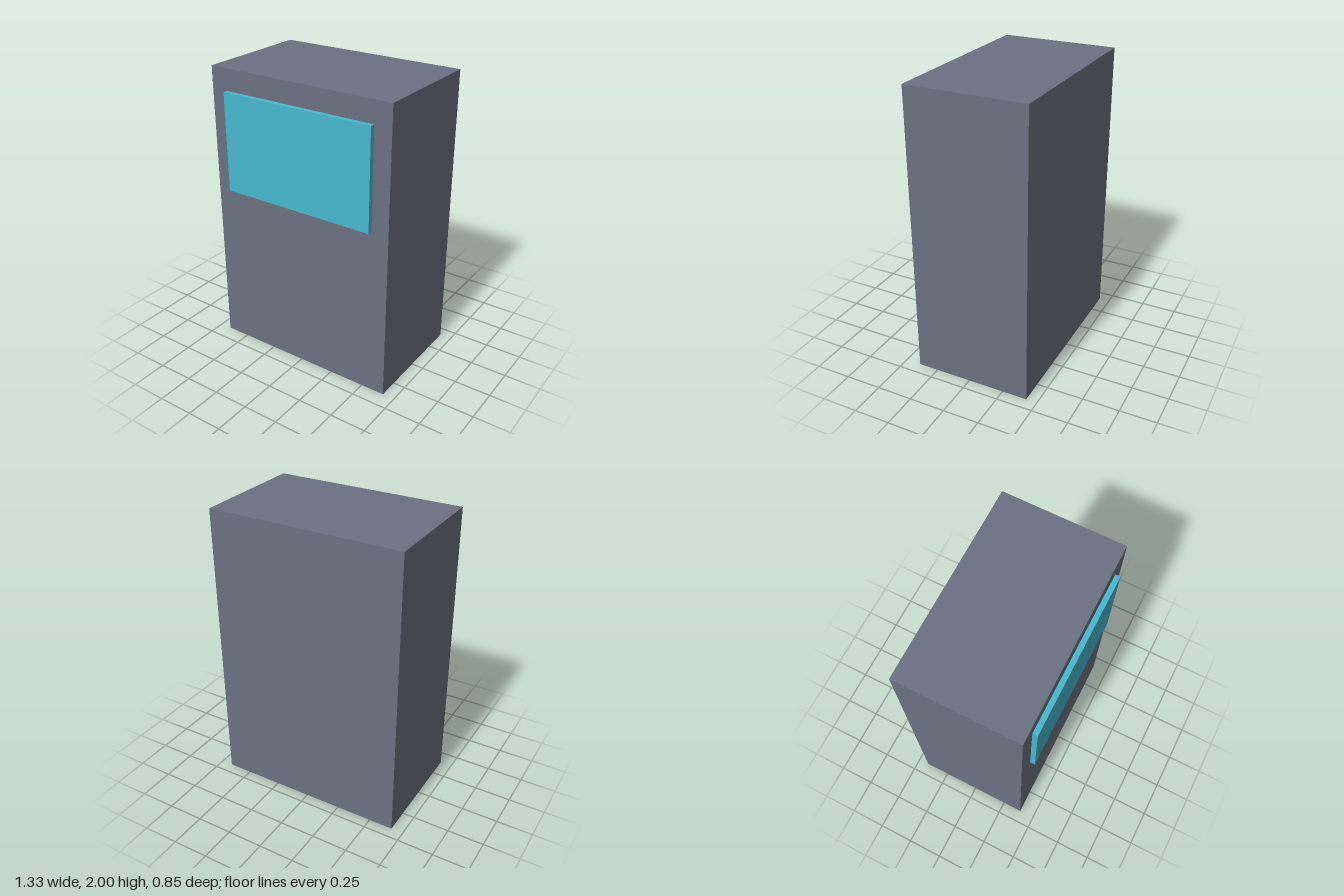
import * as THREE from 'three';

const casing = new THREE.MeshStandardMaterial({ color: 0x6b7280 });
casing.name = 'slate grey';
const glass = new THREE.MeshStandardMaterial({ color: 0x48b8d0 });
glass.name = 'cyan';

// Box given by its size and centre
function box(name, material, size, centre) {
  const mesh = new THREE.Mesh(new THREE.BoxGeometry(...size), material);
  mesh.name = name;
  mesh.position.set(...centre);
  return mesh;
}

export function createModel() {
  const model = new THREE.Group();
  model.name = 'kiosk';

  // Upright cabinet
  model.add(box('cabinet', casing, [1.333, 2, 0.814], [0, 1, -0.017]));

  // Raised screen on the upper front
  model.add(box('screen', glass, [1.096, 0.68, 0.034], [0, 1.513, 0.407]));

  return model;
}
